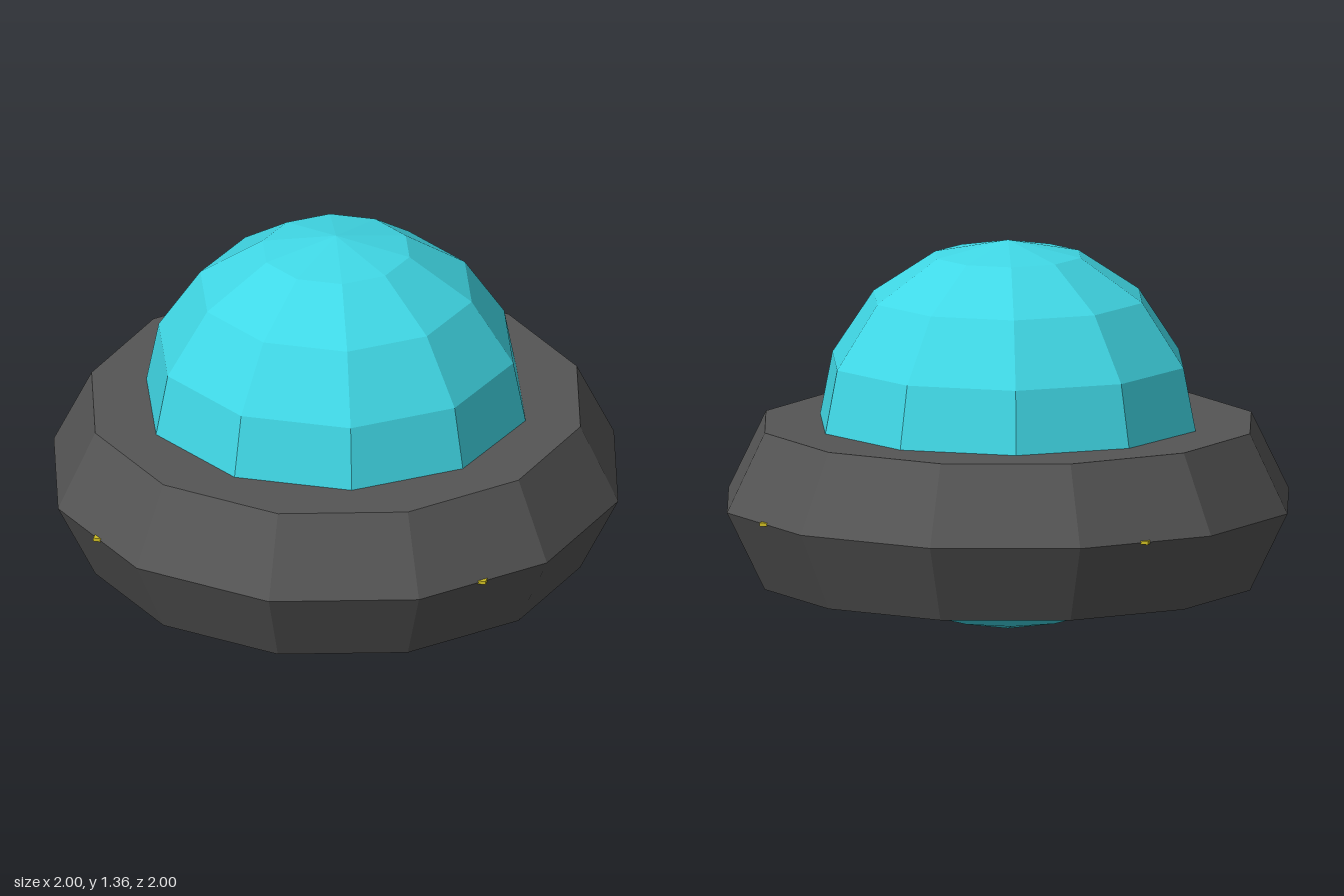
import * as THREE from 'three';

function part(name, geometry, color) {
  const material = new THREE.MeshStandardMaterial({ color, flatShading: true });
  const mesh = new THREE.Mesh(geometry, material);
  mesh.name = name;
  return mesh;
}

export function createModel() {
  const model = new THREE.Group();
  model.name = 'saucer';

  // faceted ball forming the dome above and the belly below
  const radius = 0.68;
  const dome = part('dome', new THREE.SphereGeometry(radius, 10, 8), 0x40d8e6);
  dome.position.y = radius;
  model.add(dome);

  // twelve-sided ring with a hexagonal section, slightly stretched in height
  const ringY = 0.4475;
  const ringGeometry = new THREE.TorusGeometry(0.732, 0.268, 6, 12);
  ringGeometry.scale(1, 1, 1.18);
  ringGeometry.rotateX(Math.PI / 2);
  const ring = part('ring', ringGeometry, 0x555555);
  ring.position.y = ringY;
  model.add(ring);

  // four tiny lights just breaking through the rim on the diagonals
  const lights = new THREE.Group();
  lights.name = 'rimLights';
  for (const x of [-1, 1]) {
    for (const z of [-1, 1]) {
      const light = part('rimLight', new THREE.BoxGeometry(0.03, 0.012, 0.03), 0xccbb22);
      light.position.set(x * 0.68, ringY, z * 0.68);
      lights.add(light);
    }
  }
  model.add(lights);

  return model;
}
